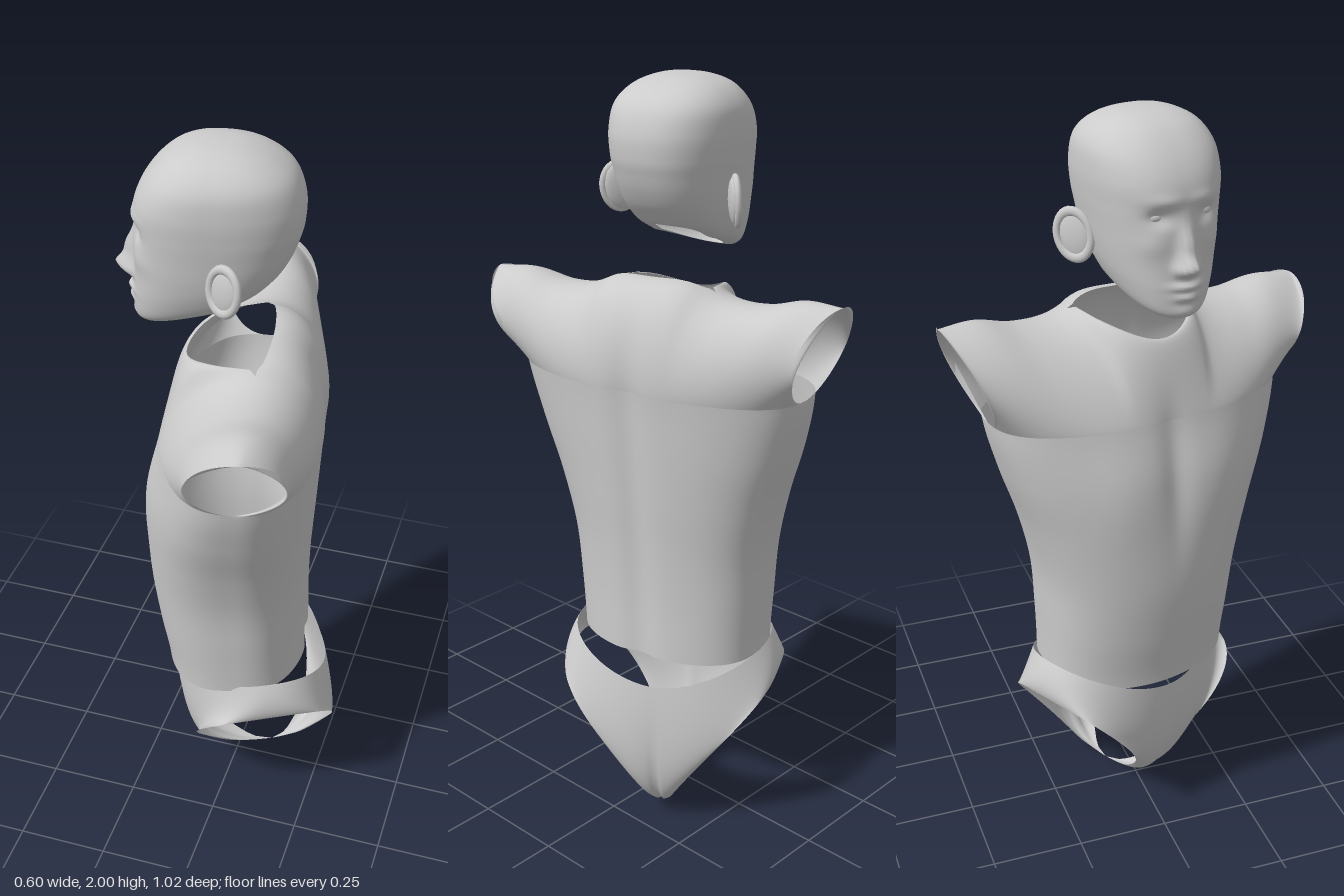
import * as THREE from 'three';
import { mergeGeometries, mergeVertices } from 'three/addons/utils/BufferGeometryUtils.js';

// Local frame of each part: x = body's left, y = up, z = body's front.
const material = new THREE.MeshStandardMaterial({ color: 0xcccccc, side: THREE.DoubleSide, roughness: 0.8 });
const { lerp, clamp } = THREE.MathUtils;
const spow = (v, p) => Math.sign(v) * Math.pow(Math.abs(v), p);
const gauss = (d, s) => Math.exp(-(d * d) / (s * s));

// Smooth sampling of evenly spaced rows of numbers, t in 0..1.
function sample(rows, t) {
  const f = clamp(t, 0, 1) * (rows.length - 1);
  const i = Math.min(Math.floor(f), rows.length - 2), u = f - i;
  const at = (k) => rows[clamp(k, 0, rows.length - 1)];
  return rows[0].map((_, c) => {
    const a = at(i - 1)[c], b = at(i)[c], d = at(i + 1)[c], e = at(i + 2)[c];
    return b + 0.5 * u * (d - a + u * (2 * a - 5 * b + 4 * d - e + u * (3 * (b - d) + e - a)));
  });
}

// Surface from a rule fn(u, v) -> [x, y, z].
function grid(nu, nv, fn) {
  const pos = [], idx = [];
  for (let j = 0; j <= nv; j++) for (let i = 0; i <= nu; i++) pos.push(...fn(i / nu, j / nv));
  for (let j = 0; j < nv; j++) for (let i = 0; i < nu; i++) {
    const a = j * (nu + 1) + i, b = a + nu + 1;
    idx.push(a, a + 1, b, a + 1, b + 1, b);
  }
  const g = new THREE.BufferGeometry();
  g.setAttribute('position', new THREE.Float32BufferAttribute(pos, 3));
  g.setIndex(idx);
  return g;
}

function shell(name, geometries) {
  const g = mergeVertices(mergeGeometries(geometries), 1e-4);
  g.computeVertexNormals();
  const m = new THREE.Mesh(g, material);
  m.name = name;
  return m;
}

// Head: egg-shaped rings tilted along the jaw, with facial relief.
// Each row: front height, front reach, back height, back reach, half width.
const headRows = [
  [1.54, 0.15, 1.637, 0.09, 0.065], [1.533, 0.185, 1.637, 0.105, 0.088],
  [1.55, 0.205, 1.655, 0.125, 0.112], [1.6, 0.208, 1.69, 0.155, 0.131],
  [1.66, 0.205, 1.73, 0.178, 0.143], [1.73, 0.203, 1.77, 0.193, 0.151],
  [1.8, 0.203, 1.81, 0.203, 0.158], [1.86, 0.198, 1.87, 0.203, 0.162],
  [1.92, 0.167, 1.93, 0.18, 0.154], [1.97, 0.117, 1.97, 0.13, 0.12],
  [1.994, 0.06, 1.994, 0.065, 0.065], [2.0, 0, 2.0, 0, 0],
];
// Relief: x, y, x spread, y spread, height.
const relief = [
  [0, 1.67, 0.021, 0.024, 0.04], [0, 1.715, 0.018, 0.045, 0.028], // nose
  [0.022, 1.66, 0.013, 0.014, 0.016], // nostril wing
  [0, 1.618, 0.036, 0.01, 0.017], [0, 1.592, 0.03, 0.011, 0.014], // lips
  [0, 1.553, 0.032, 0.018, 0.008], // chin
  [0.062, 1.785, 0.03, 0.02, -0.015], // eye socket
  [0.05, 1.825, 0.045, 0.016, 0.006], // brow
  [0.085, 1.72, 0.035, 0.03, 0.006], // cheek
];

function headPoint(u, v) {
  const a = u * Math.PI * 2, c = spow(Math.cos(a), 0.83), s = spow(Math.sin(a), 0.83);
  const [yf, f, yb, b, w] = sample(headRows, v);
  const x = w * s, y = lerp(yb, yf, ((c + 1) / 2) ** 1.3);
  let z = c > 0 ? f * c : b * c;
  if (c > 0) {
    for (const [rx, ry, sx, sy, h] of relief) {
      z += h * gauss(Math.abs(x) - rx, sx) * gauss(y - ry, sy) * Math.min(1, c * 2);
    }
  }
  return [x, y, z];
}

function makeHead() {
  const head = new THREE.Group();
  head.name = 'head';
  head.add(shell('skullAndFace', [grid(128, 110, headPoint)]));
  for (const side of [1, -1]) {
    const eye = new THREE.Mesh(new THREE.SphereGeometry(0.02, 20, 14), material);
    eye.name = 'eye';
    eye.scale.set(1.2, 0.75, 0.8);
    eye.position.set(side * 0.062, 1.785, 0.166);
    head.add(eye);

    const ear = new THREE.Group();
    ear.name = 'ear';
    const bowl = new THREE.Mesh(new THREE.SphereGeometry(1, 24, 16), material);
    bowl.name = 'earBowl';
    bowl.scale.set(0.015, 0.062, 0.042);
    const rim = new THREE.Mesh(new THREE.TorusGeometry(0.041, 0.009, 10, 32), material);
    rim.name = 'earRim';
    rim.rotation.y = Math.PI / 2;
    rim.scale.set(1.1, 1.4, 1);
    rim.position.x = side * 0.006;
    ear.add(bowl, rim);
    ear.position.set(side * 0.17, 1.703, -0.035);
    ear.rotation.set(-0.3, -side * 0.65, -side * 0.12);
    head.add(ear);
  }
  head.position.set(-0.04, 0, 0.005);
  head.rotation.y = -1.4;
  return head;
}

// Torso shell: front and back panels meeting at the sides and shoulder ridges,
// leaving neck, arm and waist openings.
const ARMPIT = 1.24, HEM = 0.49, NECK = 0.15, TIP = 0.515;
// Rows from hem to armpit: half width, front depth, back depth.
const bodyRows = [
  [0.262, 0.208, 0.19], [0.27, 0.232, 0.187], [0.283, 0.25, 0.19],
  [0.32, 0.252, 0.197], [0.372, 0.242, 0.2], [0.41, 0.222, 0.198],
];
// Shoulder ridge heights from the centre out to the tip.
const ridge = [[1.51], [1.506], [1.468], [1.465], [1.487], [1.482]];

function torsoPoint(front, u, v) {
  const s = u * 2 - 1, sn = Math.sin(s * Math.PI / 2);
  const g = Math.pow(Math.max(0, 1 - sn * sn), 0.38);
  const lower = Math.min(v / 0.6, 1), tau = clamp((v - 0.6) / 0.4, 0, 1);
  const [w, df, db] = sample(bodyRows, lower);
  const ty = (1 - Math.cos(Math.PI * tau)) / 2;
  let x = sn * lerp(w, TIP, ty);
  let y = lerp(HEM - (front ? 0.03 * g : 0), ARMPIT, lower), depth = (front ? df : db) * g;
  if (tau > 0) {
    const xt = Math.abs(sn) * TIP;
    const hole = Math.max(0, 1 - (xt / NECK) ** 2);
    const top = sample(ridge, xt / TIP)[0] - (front ? 0.07 * hole : 0) - 0.018 * sn;
    const neckDepth = (front ? 0.19 : 0.03) * Math.sqrt(hole);
    y = lerp(ARMPIT, top, ty);
    depth = lerp(neckDepth, depth, Math.sqrt(Math.max(0, 1 - ty ** (front ? 1.5 : 1.8))));
    // round arm opening at the edge, easing to a soft swell inward
    const round = Math.sin(Math.PI * tau);
    depth += 0.12 * lerp(round * round, round, s ** 24) * s ** 4;
    if (!front) x -= 0.025 * round * s ** 25;
  }
  // chest swell, breastbone and spine grooves
  if (front) depth += g * (1 - ty) * (0.014 * gauss(Math.abs(x) - 0.14, 0.1) * gauss(y - 1.08, 0.16)
    - 0.012 * gauss(x, 0.04) * gauss(y - 1.12, 0.2));
  else depth -= 0.016 * gauss(x, 0.045) * (1 - ty);
  return [x - 0.02 * (1 - lower), y, -0.02 * lower ** 4 - 0.03 * ty + (front ? depth : -depth)];
}

function makeTorso() {
  const torso = shell('torso', [
    grid(96, 80, (u, v) => torsoPoint(true, u, v)),
    grid(96, 80, (u, v) => torsoPoint(false, 1 - u, v)),
  ]);
  torso.position.set(0.015, 0, 0);
  torso.rotation.y = -1.39;
  return torso;
}

// Briefs: each column bends from the waistband to the leg edge,
// which falls from the hips to a narrow crotch strip.
function briefsPoint(u, v) {
  const a = u * Math.PI * 2, c = Math.cos(a), s = Math.sin(a), h = Math.abs(s);
  const waist = [0.272 * spow(s, 0.9), 0.425 + 0.09 * h ** 1.5, 0.212 * spow(c, 0.9)];
  const leg = [
    0.282 * spow(s, 1.4) + 0.014 * Math.sign(s) * Math.min(1, h * 8), 0.003 + 0.407 * h ** 1.1,
    (c > 0 ? 0.215 : 0.185) * spow(Math.sin(2 * a) * Math.sign(s), 0.6) - 0.07 * (1 - h),
  ];
  const drop = waist[1] - leg[1];
  const mid = [
    (waist[0] * 0.55 + leg[0] * 0.45) * 1.1, leg[1] + drop * lerp(0.36, 0.1, c * c),
    (c > 0 ? 0.225 : 0.275) * spow(c, 0.9),
  ];
  return [0, 1, 2].map((k) => (1 - v) ** 2 * waist[k] + 2 * v * (1 - v) * mid[k] + v * v * leg[k]);
}

function makeBriefs() {
  const briefs = shell('briefs', [grid(160, 28, briefsPoint)]);
  briefs.position.set(0.03, 0, -0.03);
  briefs.rotation.y = -1.08;
  return briefs;
}

export function createModel() {
  const model = new THREE.Group();
  model.name = 'mannequin';
  model.add(makeHead(), makeTorso(), makeBriefs());
  return model;
}
